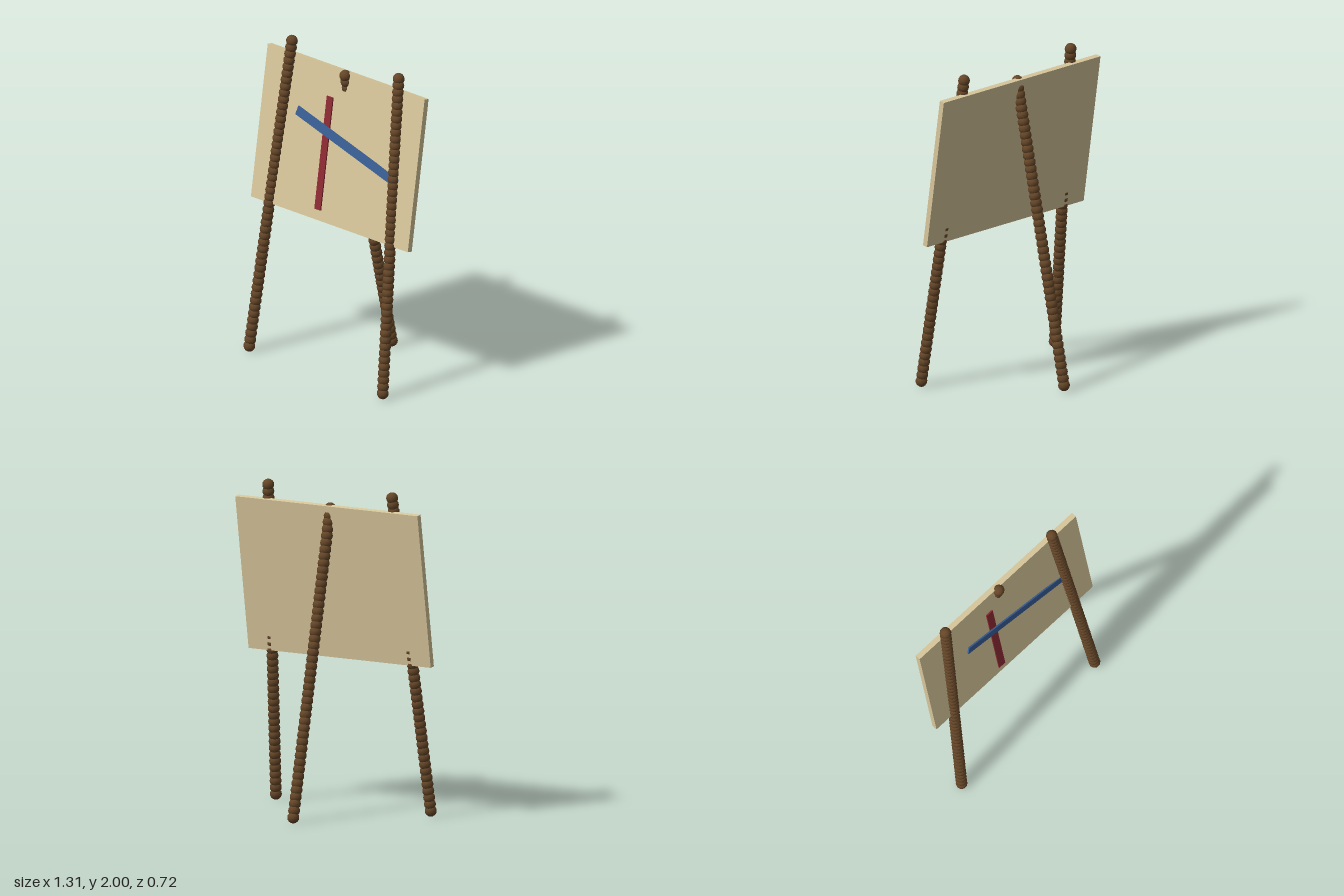
import * as THREE from 'three';

const mat = (name, color) => {
  const m = new THREE.MeshStandardMaterial({ color });
  m.name = name;
  return m;
};

export function createModel() {
  const wood = mat('dark wood', 0x654628);
  const canvas = mat('canvas cream', 0xd8c79b);
  const red = mat('paint red', 0x8c2a32);
  const blue = mat('paint blue', 0x3a6098);

  const model = new THREE.Group();
  model.name = 'easel';

  // Legs: strings of overlapping beads between two points
  const bead = new THREE.SphereGeometry(0.036, 10, 8);
  const addLeg = (name, foot, head, count) => {
    const leg = new THREE.Group();
    leg.name = name;
    const a = new THREE.Vector3(...foot);
    const b = new THREE.Vector3(...head);
    for (let i = 0; i < count; i++) {
      const mesh = new THREE.Mesh(bead, wood);
      mesh.name = 'legBead';
      mesh.position.lerpVectors(a, b, i / (count - 1));
      leg.add(mesh);
    }
    model.add(leg);
  };
  addLeg('leftFrontLeg', [0.556, 0.036, 0.328], [0.445, 1.964, 0.075], 48);
  addLeg('rightFrontLeg', [-0.556, 0.036, 0.328], [-0.445, 1.964, 0.075], 48);
  addLeg('backLeg', [0, 0.036, -0.328], [0, 1.861, 0.075], 46);

  // Board and paint strokes: boxes leaning back, then turned about z
  const LEAN = -0.153;
  const addSlab = (name, size, pos, material, turn = 0) => {
    const mesh = new THREE.Mesh(new THREE.BoxGeometry(...size), material);
    mesh.name = name;
    mesh.position.set(...pos);
    mesh.rotation.set(LEAN, 0, turn, 'ZYX');
    model.add(mesh);
  };
  addSlab('board', [1.308, 0.955, 0.035], [0, 1.41, 0.123], canvas);
  addSlab('redStroke', [0.05, 0.706, 0.0099], [-0.102, 1.355, 0.153], red);
  addSlab('blueStroke', [0.873, 0.058, 0.0099], [0.091, 1.447, 0.151], blue, -0.29);

  return model;
}
